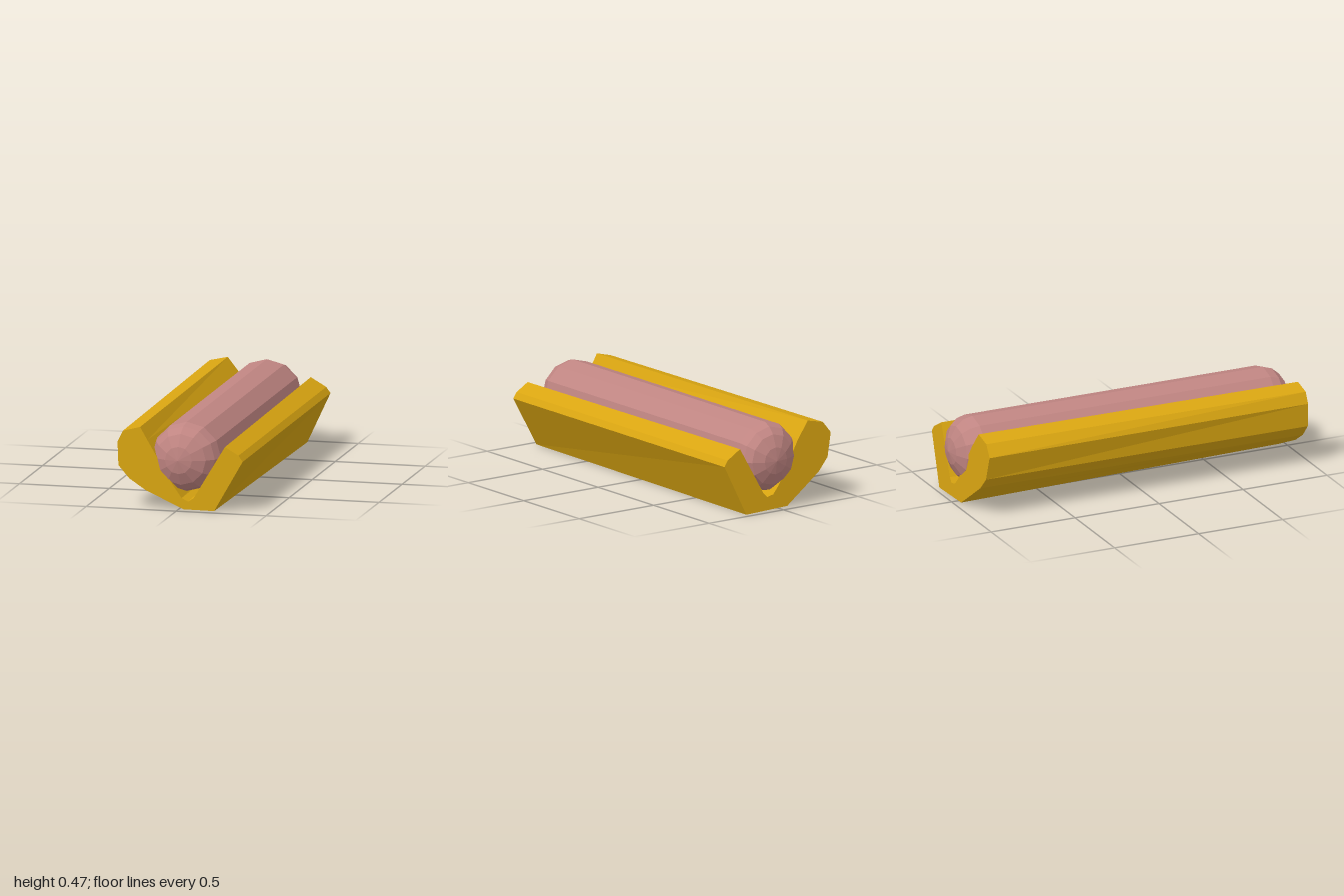
import * as THREE from 'three';

// Matching cross-section corners, anticlockwise: [frontX, frontY, backX, backY]
const BUN = [
  [0.03, 0.004, -0.05, 0.008], [0.2, 0.002, 0.225, 0],
  [0.358, 0.28, 0.358, 0.28], [0.335, 0.313, 0.335, 0.313],
  [0.26, 0.357, 0.25, 0.363], [0.085, 0.065, 0.105, 0.1],
  [0.055, 0.048, 0.08, 0.075], [0.02, 0.065, 0.04, 0.085],
  [-0.03, 0.137, 0, 0.13], [-0.17, 0.375, -0.14, 0.36],
  [-0.21, 0.445, -0.21, 0.452], [-0.305, 0.42, -0.31, 0.43],
  [-0.335, 0.36, -0.36, 0.367], [-0.33, 0.23, -0.332, 0.235],
  [-0.27, 0.16, -0.27, 0.165], [-0.18, 0.1, -0.18, 0.1],
];

// Loft between the two end sections, closed by triangulated ends
function bunGeometry() {
  const n = BUN.length;
  const front = BUN.map(p => new THREE.Vector2(p[0], p[1]));
  const back = BUN.map(p => new THREE.Vector2(p[2], p[3]));
  const positions = [];
  // the end faces lean slightly
  front.forEach(p => positions.push(p.x, p.y, 0.96 - 0.015 * p.x));
  back.forEach(p => positions.push(p.x, p.y, -0.967 + 0.065 * p.y));

  const index = [];
  for (let i = 0; i < n; i++) {
    const j = (i + 1) % n;
    index.push(i, n + i, n + j, i, n + j, j);
  }
  for (const [a, b, c] of THREE.ShapeUtils.triangulateShape(front, [])) index.push(a, b, c);
  for (const [a, b, c] of THREE.ShapeUtils.triangulateShape(back, [])) index.push(n + a, n + c, n + b);

  const geometry = new THREE.BufferGeometry();
  geometry.setAttribute('position', new THREE.Float32BufferAttribute(positions, 3));
  geometry.setIndex(index);
  const flat = geometry.toNonIndexed();
  flat.computeVertexNormals();
  return flat;
}

// Twelve-sided rod with rounded ends; the tips drift sideways
function sausageGeometry() {
  const cap = [[0, 1], [0.075, 0.987], [0.14, 0.955], [0.175, 0.915], [0.19, 0.865]];
  const profile = [
    ...cap.map(([r, z]) => new THREE.Vector2(r, -z)),
    ...cap.slice().reverse().map(([r, z]) => new THREE.Vector2(r, z)),
  ];
  const geometry = new THREE.LatheGeometry(profile, 12);
  geometry.rotateX(Math.PI / 2);
  const p = geometry.attributes.position;
  for (let i = 0; i < p.count; i++) {
    const z = p.getZ(i);
    const tip = Math.max(0, Math.abs(z) - 0.865) / 0.135;
    p.setX(i, p.getX(i) + 0.025 - Math.sign(z) * 0.018 * tip);
    p.setY(i, p.getY(i) + 0.276);
  }
  geometry.computeVertexNormals();
  return geometry;
}

function part(name, geometry, color) {
  const mesh = new THREE.Mesh(geometry, new THREE.MeshStandardMaterial({ color, flatShading: true }));
  mesh.name = name;
  return mesh;
}

export function createModel() {
  const group = new THREE.Group();
  group.name = 'hotDog';
  group.add(part('bun', bunGeometry(), 0xd9a511));
  group.add(part('sausage', sausageGeometry(), 0xc08582));
  return group;
}
